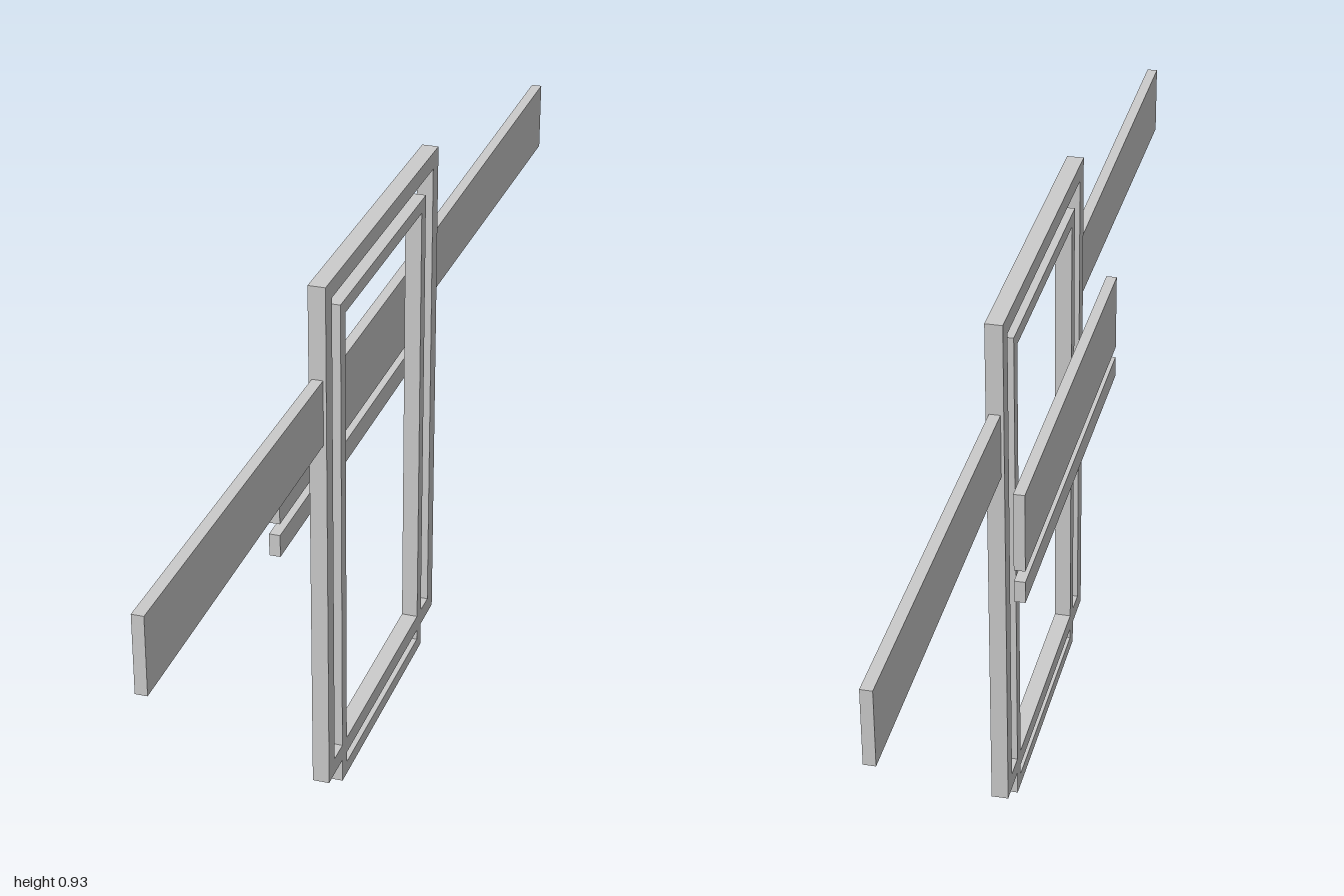
import * as THREE from 'three';

const material = new THREE.MeshStandardMaterial({ color: 0xcccccc, flatShading: true });

// Rectangular frame in the z-y plane, extruded along x
function makeFrame(name, halfWidth, bottom, top, bar) {
  const rect = (path, w, y0, y1) =>
    path.moveTo(-w, y0).lineTo(w, y0).lineTo(w, y1).lineTo(-w, y1).closePath();
  const shape = new THREE.Shape();
  rect(shape, halfWidth, bottom, top);
  const hole = new THREE.Path();
  rect(hole, halfWidth - bar, bottom + bar, top - bar);
  shape.holes.push(hole);
  const geometry = new THREE.ExtrudeGeometry(shape, { depth: 0.028, bevelEnabled: false });
  geometry.rotateY(Math.PI / 2).translate(0.0095, 0, 0);
  const mesh = new THREE.Mesh(geometry, material);
  mesh.name = name;
  return mesh;
}

// Flat plank running along z
function makePlank(name, x, y0, y1, z0, z1) {
  const geometry = new THREE.BoxGeometry(0.018, y1 - y0, z1 - z0);
  const mesh = new THREE.Mesh(geometry, material);
  mesh.position.set(x, (y0 + y1) / 2, (z0 + z1) / 2);
  mesh.name = name;
  return mesh;
}

export function createModel() {
  const group = new THREE.Group();
  group.name = 'framedPanel';

  // Two nested frames, the inner one hanging slightly lower
  group.add(makeFrame('outerFrame', 0.291, 0.042, 0.931, 0.029));
  group.add(makeFrame('innerFrame', 0.222, 0, 0.872, 0.023));

  // Side arms, flaring slightly towards their ends
  for (const side of [1, -1]) {
    const arm = makePlank(side > 0 ? 'frontArm' : 'backArm', 0.0235, 0.661, 0.783, 0.29, 1);
    arm.position.z *= side;
    const p = arm.geometry.attributes.position;
    for (let i = 0; i < p.count; i++) {
      if (p.getZ(i) * side < 0) p.setY(i, p.getY(i) * 0.9);
    }
    arm.geometry.computeVertexNormals();
    group.add(arm);
  }

  // Separate wide and narrow crossbars beside the frames
  group.add(makePlank('wideCrossbar', -0.0295, 0.549, 0.686, -0.362, 0.345));
  group.add(makePlank('narrowCrossbar', -0.0295, 0.491, 0.529, -0.362, 0.345));

  return group;
}
